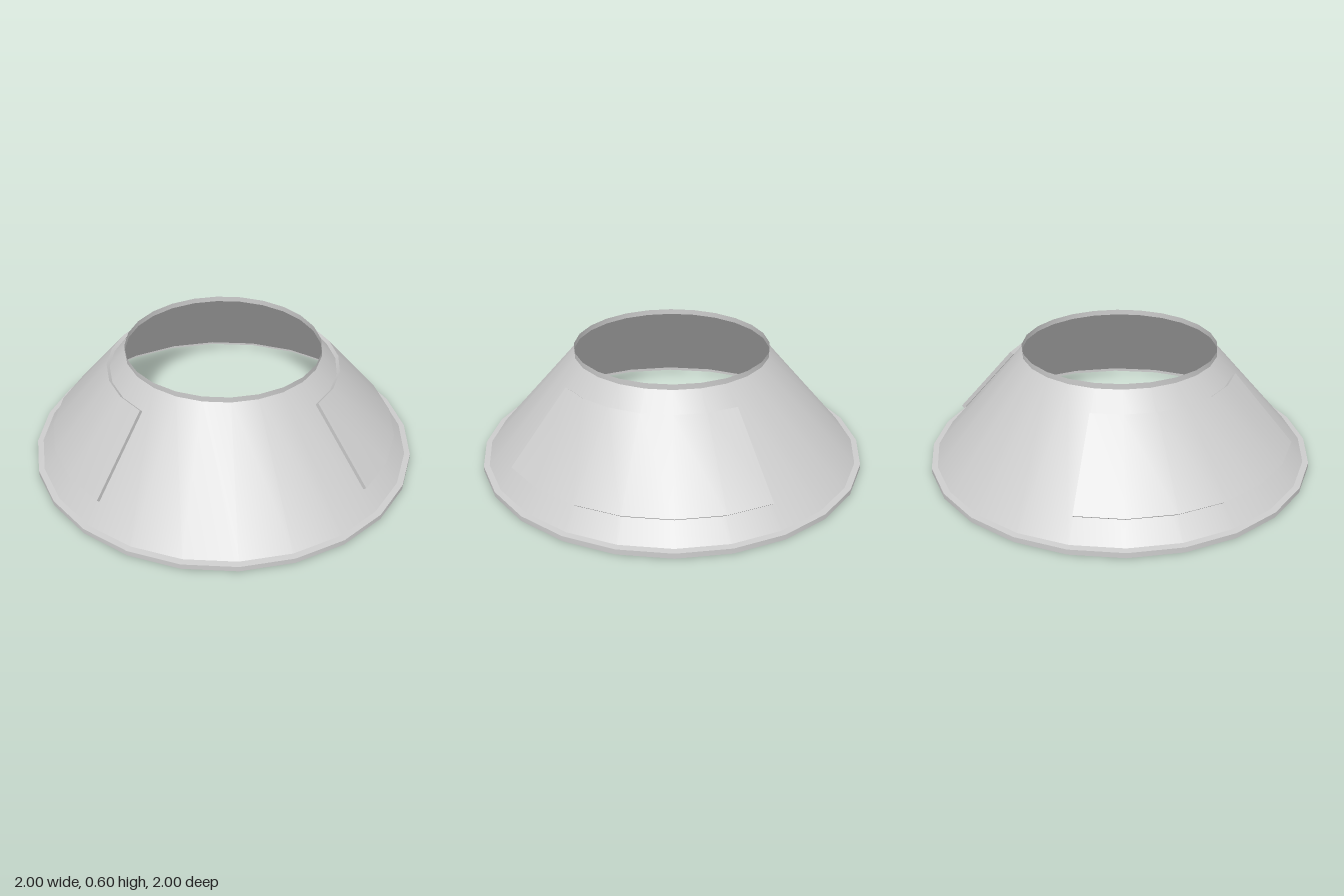
import * as THREE from 'three';
import { toCreasedNormals } from 'three/addons/utils/BufferGeometryUtils.js';

const SEGMENTS = 24;
const toPoints = (list) => list.map(([r, y]) => new THREE.Vector2(r, y));

export function createModel() {
  const model = new THREE.Group();
  model.name = 'conicalCollar';

  const grey = new THREE.MeshStandardMaterial({ color: 0xcccccc, side: THREE.DoubleSide });
  grey.name = 'light grey';

  const add = (parent, name, geometry) => {
    const mesh = new THREE.Mesh(geometry, grey);
    mesh.name = name;
    parent.add(mesh);
    return mesh;
  };

  // Open shell: base lip, ledge, sloping wall and short upright neck
  const shellProfile = toPoints([[1, 0], [1, 0.027], [0.97, 0.03], [0.5, 0.572], [0.5, 0.6]]);
  add(model, 'coneShell', toCreasedNormals(new THREE.LatheGeometry(shellProfile, SEGMENTS), 0.5));

  // Raised quarter-turn panels lying on the slope, one per side
  const outline = [[0.89, 0.125], [0.905, 0.138], [0.597, 0.493], [0.582, 0.48]];
  const panelProfile = toPoints([...outline, outline[0]]);
  for (const side of [1, -1]) {
    const panel = new THREE.Group();
    panel.name = side > 0 ? 'leftPanel' : 'rightPanel';
    const body = new THREE.LatheGeometry(panelProfile, SEGMENTS / 4, Math.PI / 4, Math.PI / 2);
    add(panel, 'panelBody', toCreasedNormals(body, 0.5));
    // Flat ends closing the sweep
    for (const end of [1, -1]) {
      const cap = add(panel, 'panelEnd', new THREE.ShapeGeometry(new THREE.Shape(toPoints(outline))));
      cap.rotation.y = end * Math.PI / 4;
    }
    if (side < 0) panel.rotation.y = Math.PI;
    model.add(panel);
  }
  return model;
}
